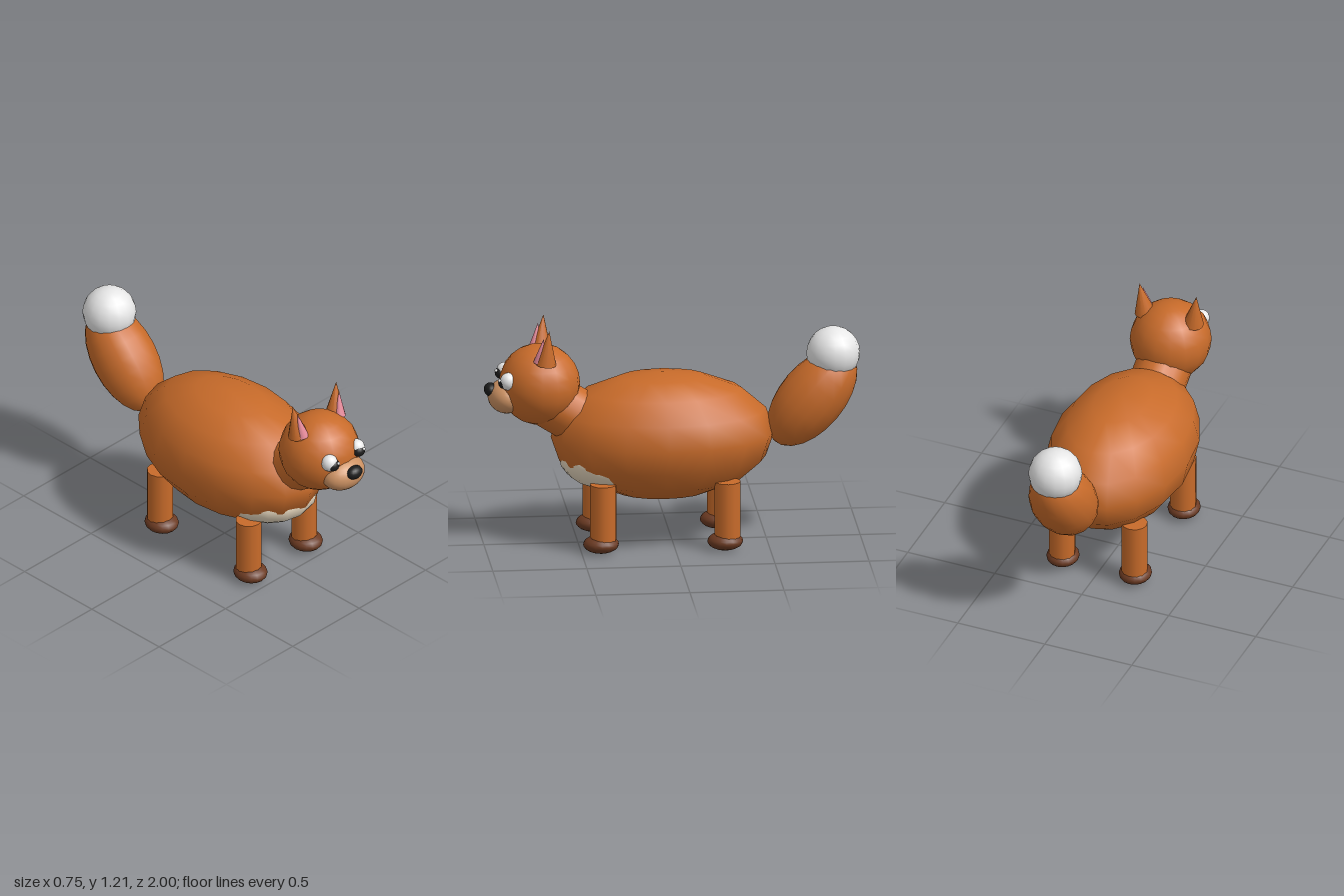
import * as THREE from 'three';

const paint = (name, color) => {
  const m = new THREE.MeshStandardMaterial({ color });
  m.name = name;
  return m;
};

export function createModel() {
  const fur = paint('orange fur', 0xc86b2a);
  const white = paint('white', 0xf2f2f2);
  const cream = paint('cream belly', 0xf0e0c6);
  const tan = paint('tan muzzle', 0xcd9263);
  const brown = paint('dark brown paw', 0x6b3a22);
  const black = paint('black', 0x1c1c1c);
  const pink = paint('pink inner ear', 0xe68a9a);

  const model = new THREE.Group();
  model.name = 'fox';

  const add = (name, geometry, material, position) => {
    const mesh = new THREE.Mesh(geometry, material);
    mesh.name = name;
    mesh.position.set(...position);
    model.add(mesh);
    return mesh;
  };
  const ellipsoid = (name, material, position, radii, w = 16, h = 12) =>
    add(name, new THREE.SphereGeometry(1, w, h).scale(...radii), material, position);

  // Torso and the cream patch showing under the chest
  ellipsoid('body', fur, [0, 0.59, 0.05], [0.375, 0.345, 0.595], 16, 8);
  ellipsoid('belly', cream, [0, 0.47, 0.3], [0.27, 0.17, 0.3], 16, 12);

  // Neck leaning forward into the head
  const neck = add('neck', new THREE.CylinderGeometry(0.15, 0.15, 0.31, 16), fur, [0, 0.715, 0.53]);
  neck.rotation.x = 1.01;

  // Head
  ellipsoid('head', fur, [0, 0.883, 0.705], [0.217, 0.217, 0.217]);
  ellipsoid('muzzle', tan, [0, 0.822, 0.88], [0.13, 0.09, 0.1], 24, 16);
  ellipsoid('nose', black, [0, 0.86, 0.965], [0.05, 0.036, 0.035], 16, 12);

  for (const [side, s] of [['left', 1], ['right', -1]]) {
    // Eyes
    ellipsoid(side + 'Eye', white, [s * 0.102, 0.93, 0.88], [0.044, 0.047, 0.045]);
    ellipsoid(side + 'Pupil', black, [s * 0.096, 0.922, 0.902], [0.036, 0.032, 0.031]);
    ellipsoid(side + 'Highlight', white, [s * 0.096 + 0.014, 0.938, 0.927], [0.009, 0.009, 0.009], 8, 6);

    // Ears
    const ear = add(side + 'Ear', new THREE.ConeGeometry(0.056, 0.19, 12), fur, [s * 0.151, 1.124, 0.676]);
    ear.rotation.set(-0.09, 0, -s * 0.13);
    const inner = add(side + 'InnerEar', new THREE.ConeGeometry(0.032, 0.14, 12), pink, [s * 0.147, 1.108, 0.708]);
    inner.rotation.set(-0.16, 0, -s * 0.13);

    // Legs with rounded paws
    for (const [end, z] of [['Front', 0.385], ['Back', -0.275]]) {
      add(side + end + 'Leg', new THREE.CylinderGeometry(0.07, 0.07, 0.33, 12), fur, [s * 0.208, 0.215, z]);
      ellipsoid(side + end + 'Paw', brown, [s * 0.208, 0.052, z + 0.012], [0.087, 0.048, 0.095]);
    }
  }

  // Bushy upright tail with a white tip
  const tail = ellipsoid('tail', fur, [0, 0.77, -0.745], [0.175, 0.31, 0.175]);
  tail.rotation.x = -0.7;
  ellipsoid('tailTip', white, [0, 1.012, -0.857], [0.143, 0.143, 0.143]);

  return model;
}
